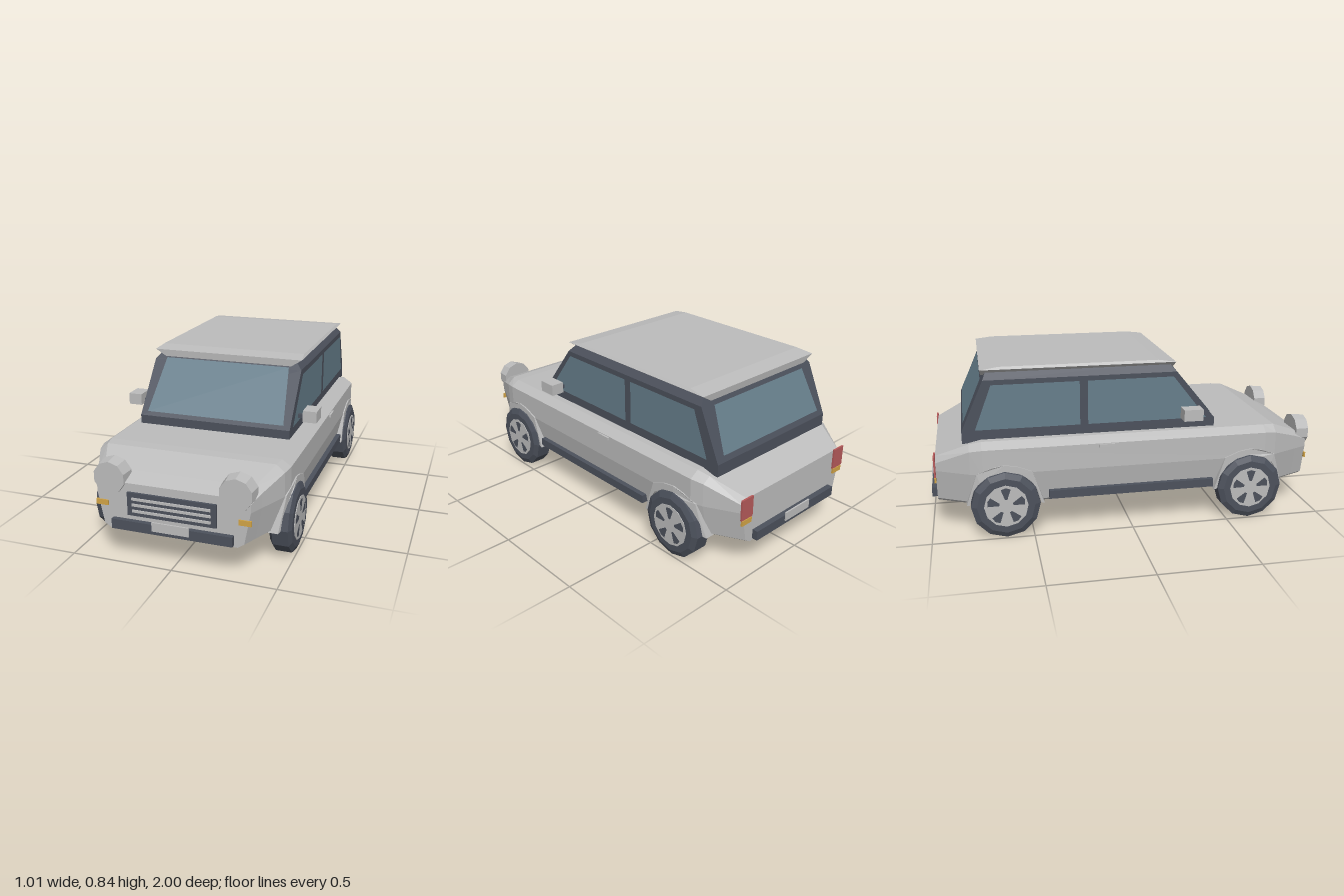
import * as THREE from 'three';

const material = (name, color, flat = true) =>
  Object.assign(new THREE.MeshStandardMaterial({ color, flatShading: flat, side: THREE.DoubleSide }), { name });

// Closed solid through a row of matching rings of [x, y, z] points
function loft(rings) {
  const pos = [];
  const tri = (a, b, c) => pos.push(...a, ...b, ...c);
  const n = rings[0].length;
  for (let i = 0; i < rings.length - 1; i++) {
    for (let j = 0; j < n; j++) {
      const k = (j + 1) % n;
      tri(rings[i][j], rings[i][k], rings[i + 1][k]);
      tri(rings[i][j], rings[i + 1][k], rings[i + 1][j]);
    }
  }
  const first = rings[0], last = rings[rings.length - 1];
  for (let j = 1; j < n - 1; j++) {
    tri(first[0], first[j + 1], first[j]);
    tri(last[0], last[j], last[j + 1]);
  }
  return fromPositions(pos);
}

function fromPositions(pos) {
  const g = new THREE.BufferGeometry();
  g.setAttribute('position', new THREE.Float32BufferAttribute(pos, 3));
  g.computeVertexNormals();
  return g;
}

const quad = (a, b, c, d) => fromPositions([a, b, c, a, c, d].flat());

// Horizontal rectangle ring for the cabin and roof
const level = (y, hw, front, back) =>
  [[hw, y, front], [hw, y, back], [-hw, y, back], [-hw, y, front]];

// Body stations, back to front: z, half width, crease y, top half width, top y
const stations = [
  [-0.965, 0.37, 0.37, 0.345, 0.40],
  [-0.80, 0.455, 0.445, 0.415, 0.472],
  [-0.74, 0.475, 0.455, 0.43, 0.486],
  [0.70, 0.475, 0.455, 0.43, 0.486],
  [0.76, 0.462, 0.448, 0.42, 0.483],
  [0.90, 0.40, 0.40, 0.365, 0.425],
  [0.97, 0.37, 0.37, 0.34, 0.39],
];

function widthAt(z) {
  for (let i = 0; i < stations.length - 1; i++) {
    const [z0, w0] = stations[i], [z1, w1] = stations[i + 1];
    if (z >= z0 && z <= z1) return w0 + (w1 - w0) * (z - z0) / (z1 - z0);
  }
  return 0.37;
}

export function createModel() {
  const car = new THREE.Group();
  car.name = 'car';
  const paint = material('body grey', 0xbcbcbc);
  const dark = material('dark trim', 0x4c515c);
  const glass = material('window glass', 0x667e8b);
  const red = material('tail light red', 0xb65a5a);
  const amber = material('indicator amber', 0xd2a446);

  const add = (name, geometry, mat, parent = car) => {
    const mesh = new THREE.Mesh(geometry, mat);
    mesh.name = name;
    parent.add(mesh);
    return mesh;
  };
  // Box given by its lower and upper limits on each axis
  const box = (name, mat, x0, x1, y0, y1, z0, z1) => {
    const mesh = add(name, new THREE.BoxGeometry(Math.abs(x1 - x0), y1 - y0, Math.abs(z1 - z0)), mat);
    mesh.position.set((x0 + x1) / 2, (y0 + y1) / 2, (z0 + z1) / 2);
    return mesh;
  };

  // Lower body
  add('body', loft(stations.map(([z, w, crease, tw, top]) => {
    const half = [[w - 0.06, 0.155], [w - 0.03, 0.175], [w, 0.33], [w, crease], [tw, top]];
    return [...half.map(([x, y]) => [x, y, z]), ...half.reverse().map(([x, y]) => [-x, y, z])];
  })), paint);

  // Cabin frame and overhanging roof
  add('cabin', loft([
    level(0.47, 0.395, 0.445, -0.83), level(0.53, 0.395, 0.445, -0.83),
    level(0.78, 0.395, 0.242, -0.718), level(0.82, 0.36, 0.21, -0.70),
  ]), dark);
  add('roof', loft([
    level(0.795, 0.34, 0.235, -0.725), level(0.83, 0.395, 0.237, -0.73),
    level(0.842, 0.385, 0.15, -0.64),
  ]), paint);

  // Windscreen and rear window lie on the sloped cabin ends
  const screenZ = (y) => 0.451 - (y - 0.53) * 0.812;
  const rearZ = (y) => -0.836 + (y - 0.53) * 0.448;
  add('windscreen', quad([-0.36, 0.55, screenZ(0.55)], [0.36, 0.55, screenZ(0.55)],
    [0.33, 0.79, screenZ(0.79)], [-0.33, 0.79, screenZ(0.79)]), glass);
  add('rearWindow', quad([0.35, 0.56, rearZ(0.56)], [-0.35, 0.56, rearZ(0.56)],
    [-0.32, 0.77, rearZ(0.77)], [0.32, 0.77, rearZ(0.77)]), glass);

  // Wheel parts, shared by all four wheels
  const tyre = new THREE.LatheGeometry(
    [[0, 0.39], [0.14, 0.39], [0.17, 0.41], [0.17, 0.487], [0.142, 0.50], [0, 0.50]]
      .map(([r, x]) => new THREE.Vector2(r, x)), 12).rotateZ(-Math.PI / 2);
  const rim = new THREE.CylinderGeometry(0.108, 0.108, 0.008, 12)
    .rotateZ(-Math.PI / 2).translate(0.499, 0, 0);
  const slot = new THREE.ShapeGeometry(new THREE.Shape(
    [[-0.006, 0.035], [0.006, 0.035], [0.024, 0.088], [0, 0.096], [-0.024, 0.088]]
      .map((p) => new THREE.Vector2(...p)))).rotateY(Math.PI / 2).translate(0.505, 0, 0);
  const axles = [['front', 0.62], ['rear', -0.635]];

  // Outline of the wheel arch flare, with the tyre opening cut from below
  const archShape = new THREE.Shape([[-0.19, 0.165], [-0.135, 0.335], [-0.06, 0.365], [0, 0.375],
    [0.06, 0.365], [0.135, 0.335], [0.19, 0.165]].map((p) => new THREE.Vector2(...p)));
  for (let i = 0; i <= 8; i++) {
    const a = Math.PI * i / 8;
    archShape.lineTo(0.173 * Math.cos(a), 0.17 + 0.173 * Math.sin(a));
  }

  for (const side of [1, -1]) {
    const label = side > 0 ? 'left' : 'right';
    for (const [end, z] of axles) {
      const wheel = new THREE.Group();
      wheel.name = `${label}${end === 'front' ? 'Front' : 'Rear'}Wheel`;
      wheel.position.set(0, 0.171, z);
      wheel.rotation.y = side > 0 ? 0 : Math.PI;
      add('tyre', tyre, dark, wheel);
      add('rim', rim, paint, wheel);
      for (let i = 0; i < 5; i++) add('rimSlot', slot, dark, wheel).rotation.x = i * Math.PI * 0.4;
      car.add(wheel);

      // Flare follows the curve of the body side
      const arch = new THREE.ExtrudeGeometry(archShape, { depth: 0.1, bevelEnabled: false })
        .rotateY(side * Math.PI / 2).translate(0, 0, z);
      const p = arch.attributes.position;
      for (let i = 0; i < p.count; i++) {
        const outer = Math.abs(p.getX(i)) > 0.05;
        p.setX(i, side * (widthAt(p.getZ(i)) + (outer ? 0.007 : -0.05)));
      }
      arch.computeVertexNormals();
      add(`${label}WheelArch`, arch, paint);
    }

    // Side windows
    const pane = (name, pts) => {
      const c = pts.map(([z, y]) => [side * 0.4, y, z]);
      add(name, quad(...(side > 0 ? c : c.reverse())), glass);
    };
    pane(`${label}FrontWindow`, [[0.40, 0.535], [-0.21, 0.535], [-0.21, 0.757], [0.225, 0.757]]);
    pane(`${label}RearWindow`, [[-0.25, 0.535], [-0.765, 0.535], [-0.68, 0.757], [-0.25, 0.757]]);

    // Sill, handle and mirror
    box(`${label}Sill`, dark, side * 0.42, side * 0.48, 0.183, 0.225, -0.42, 0.425);
    box(`${label}DoorHandle`, paint, side * 0.465, side * 0.485, 0.438, 0.452, -0.17, -0.09);
    box(`${label}MirrorArm`, dark, side * 0.385, side * 0.44, 0.555, 0.574, 0.29, 0.31);
    box(`${label}Mirror`, paint, side * 0.435, side * 0.505, 0.55, 0.608, 0.255, 0.353);

    // Lights
    add(`${label}Headlight`, new THREE.CylinderGeometry(0.078, 0.086, 0.07, 10)
      .rotateX(Math.PI / 2).translate(side * 0.303, 0.407, 0.945), paint);
    box(`${label}FrontIndicator`, amber, side * 0.315, side * 0.375, 0.268, 0.294, 0.967, 0.976);
    box(`${label}TailLight`, red, side * 0.31, side * 0.385, 0.30, 0.405, -0.974, -0.965);
    box(`${label}RearIndicator`, amber, side * 0.315, side * 0.38, 0.27, 0.296, -0.974, -0.965);
  }

  // Grille with bars
  box('grille', dark, -0.215, 0.215, 0.238, 0.35, 0.95, 0.982);
  for (const y of [0.263, 0.293, 0.322]) {
    box('grilleBar', paint, -0.19, 0.19, y - 0.006, y + 0.006, 0.98, 0.988);
  }

  // Bumpers and blank plates, front and rear
  for (const [end, s] of [['front', 1], ['rear', -1]]) {
    box(`${end}Bumper`, dark, -0.293, 0.293, 0.165, 0.213, s * 0.95, s * 0.994);
    box(`${end}Plate`, paint, -0.09, 0.09, 0.183, 0.227, s * 0.992, s);
  }
  return car;
}
